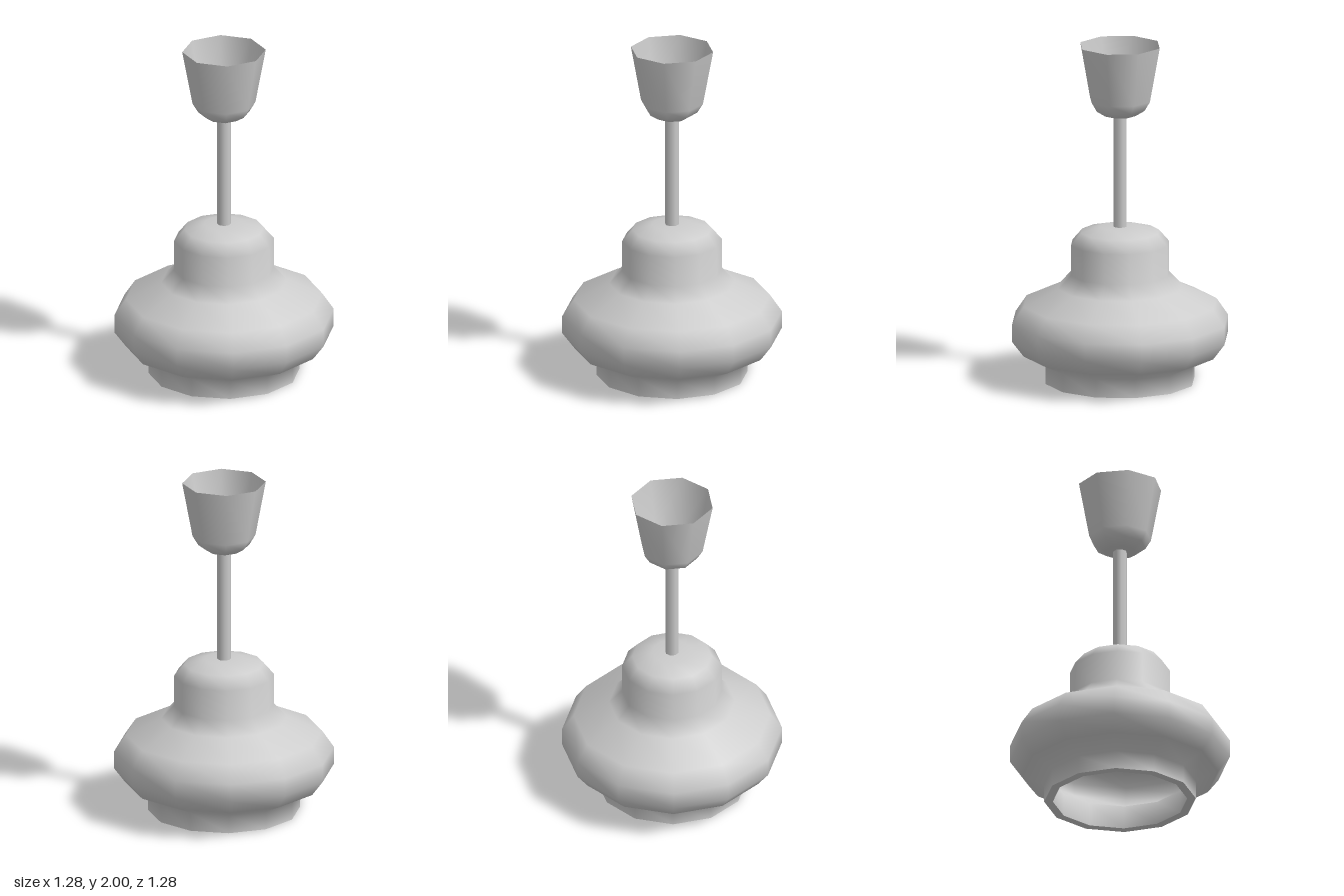
import * as THREE from 'three';

const material = new THREE.MeshStandardMaterial({ color: 0xcccccc });
const openMaterial = new THREE.MeshStandardMaterial({ color: 0xcccccc, side: THREE.DoubleSide });

// Turned part from [radius, height] pairs; rising profiles face outward
function turned(name, profile, sides, mat = material) {
  const points = profile.map(([r, y]) => new THREE.Vector2(r, y));
  const mesh = new THREE.Mesh(new THREE.LatheGeometry(points, sides), mat);
  mesh.name = name;
  return mesh;
}

export function createModel() {
  const lamp = new THREE.Group();
  lamp.name = 'pendantLamp';

  // Hollow shade: outer skin, inner skin and the flat rim joining them
  const shade = new THREE.Group();
  shade.name = 'shade';
  const outer = [
    [0.44, 0], [0.44, 0.11], [0.57, 0.17], [0.638, 0.26], [0.638, 0.365], [0.57, 0.465],
    [0.365, 0.56], [0.29, 0.64], [0.29, 0.82], [0.23, 0.89], [0.115, 0.92], [0, 0.92],
  ];
  const inner = [
    [0, 0.87], [0.1, 0.87], [0.2, 0.85], [0.24, 0.8], [0.24, 0.62], [0.335, 0.52],
    [0.54, 0.425], [0.59, 0.35], [0.59, 0.275], [0.54, 0.21], [0.39, 0.14], [0.39, 0],
  ];
  shade.add(
    turned('shadeOutside', outer, 12),
    turned('shadeInside', inner, 12),
    turned('shadeRim', [[0.39, 0], [0.44, 0]], 12),
  );

  // Rod from the shade up into the ceiling cup
  const rod = new THREE.Mesh(new THREE.CylinderGeometry(0.04, 0.04, 0.69, 8), material);
  rod.name = 'rod';
  rod.position.y = 1.25;

  // Thin ceiling cup, open at the top
  const cup = turned('ceilingCup',
    [[0, 1.585], [0.095, 1.585], [0.15, 1.62], [0.183, 1.675], [0.243, 2]], 8, openMaterial);

  lamp.add(shade, rod, cup);
  return lamp;
}
